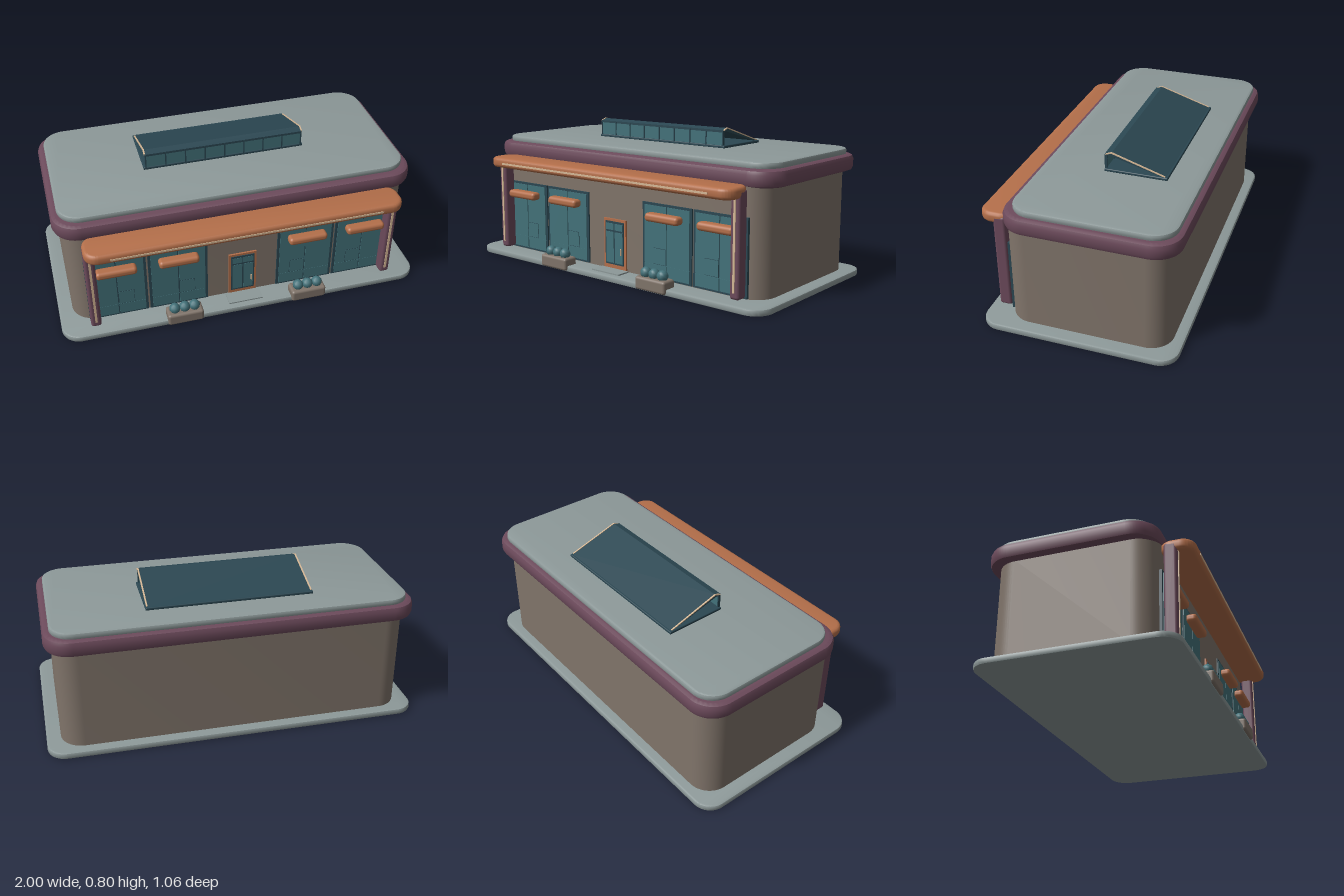
import * as THREE from 'three';
import { toCreasedNormals } from 'three/addons/utils/BufferGeometryUtils.js';
import { RoundedBoxGeometry } from 'three/addons/geometries/RoundedBoxGeometry.js';

const material = (name, color) => {
  const m = new THREE.MeshStandardMaterial({ color });
  m.name = name;
  return m;
};

export function createModel() {
  const stone = material('pale stone', 0x8d9999);
  const wall = material('taupe wall', 0x80746a);
  const plum = material('plum trim', 0x6c4a5b);
  const copper = material('copper', 0xb46f4a);
  const teal = material('teal panel', 0x43727a);
  const dark = material('dark teal frame', 0x2b4752);
  const cream = material('cream trim', 0xd6b896);

  const model = new THREE.Group();
  model.name = 'storefront';

  const add = (parent, name, geometry, mat, x = 0, y = 0, z = 0) => {
    const mesh = new THREE.Mesh(geometry, mat);
    mesh.name = name;
    mesh.position.set(x, y, z);
    parent.add(mesh);
    return mesh;
  };
  const box = (parent, name, mat, w, h, d, x, y, z) =>
    add(parent, name, new THREE.BoxGeometry(w, h, d), mat, x, y, z);
  const softBox = (parent, name, mat, w, h, d, r, x, y, z) =>
    add(parent, name, new RoundedBoxGeometry(w, h, d, 3, r), mat, x, y, z);
  const group = (name, x = 0, y = 0, z = 0) => {
    const g = new THREE.Group();
    g.name = name;
    g.position.set(x, y, z);
    model.add(g);
    return g;
  };

  // Horizontal slab with rounded plan corners and bevelled rims
  const slab = (name, mat, w, d, y0, y1, z, r, bevel, bevelSegments = 2) => {
    const a = w / 2, b = d / 2;
    const s = new THREE.Shape();
    s.moveTo(-a + r, -b);
    s.lineTo(a - r, -b);
    s.absarc(a - r, -b + r, r, -Math.PI / 2, 0);
    s.absarc(a - r, b - r, r, 0, Math.PI / 2);
    s.absarc(-a + r, b - r, r, Math.PI / 2, Math.PI);
    s.absarc(-a + r, -b + r, r, Math.PI, Math.PI * 1.5);
    const g = new THREE.ExtrudeGeometry(s, {
      depth: y1 - y0 - 2 * bevel, curveSegments: 8, bevelEnabled: bevel > 0,
      bevelSize: bevel, bevelOffset: -bevel, bevelThickness: bevel, bevelSegments,
    });
    g.translate(0, 0, bevel).rotateX(-Math.PI / 2);
    return add(model, name, toCreasedNormals(g, 0.6), mat, 0, y0, z);
  };

  // Main volumes
  slab('base', stone, 2, 1.024, 0, 0.033, -0.018, 0.1, 0.008);
  slab('walls', wall, 1.85, 0.845, 0.033, 0.58, -0.0525, 0.12, 0);
  slab('fascia', plum, 1.94, 0.897, 0.573, 0.66, -0.0715, 0.14, 0.024);
  slab('roof', stone, 1.87, 0.823, 0.655, 0.69, -0.0785, 0.12, 0.01);
  slab('canopy', copper, 1.69, 0.18, 0.531, 0.588, 0.441, 0.07, 0.018, 3);
  box(model, 'canopyStripe', cream, 1.44, 0.01, 0.006, 0, 0.557, 0.531);

  // Canopy posts with light strips
  for (const x of [-0.818, 0.818]) {
    softBox(model, 'post', plum, 0.055, 0.528, 0.067, 0.015, x, 0.309, 0.4165);
    box(model, 'postStrip', cream, 0.012, 0.45, 0.006, x, 0.305, 0.451);
  }

  // Large glazed bays, each with a small awning
  for (const x of [-0.685, -0.355, 0.355, 0.685]) {
    const bay = group('bay', x);
    box(bay, 'bayFrame', dark, 0.32, 0.395, 0.018, 0, 0.235, 0.369);
    for (const side of [-1, 1]) {
      box(bay, 'bayPane', teal, 0.143, 0.305, 0.006, side * 0.0745, 0.268, 0.379);
      box(bay, 'lowerPanel', teal, 0.143, 0.064, 0.006, side * 0.0745, 0.08, 0.379);
    }
    box(bay, 'bayRail', teal, 0.29, 0.004, 0.006, 0, 0.1135, 0.378);
    box(bay, 'displayPanel', dark, 0.086, 0.086, 0.002, Math.sign(x) * -0.045, 0.158, 0.3822);
    box(bay, 'displayFace', teal, 0.082, 0.082, 0.002, Math.sign(x) * -0.045, 0.158, 0.383);
    softBox(bay, 'awning', copper, 0.215, 0.044, 0.06, 0.018, 0, 0.366, 0.405);
  }

  // Entrance
  const door = group('entrance');
  box(door, 'doorFrame', copper, 0.155, 0.278, 0.02, 0, 0.172, 0.37);
  box(door, 'doorLeaf', dark, 0.13, 0.236, 0.006, 0, 0.18, 0.381);
  for (const side of [-1, 1]) {
    box(door, 'doorPane', teal, 0.054, 0.17, 0.004, side * 0.031, 0.156, 0.384);
    box(door, 'transomPane', teal, 0.054, 0.036, 0.004, side * 0.031, 0.269, 0.384);
  }
  box(door, 'doorHandle', cream, 0.006, 0.035, 0.008, 0.048, 0.138, 0.388);
  box(door, 'doorstep', stone, 0.19, 0.008, 0.08, 0, 0.036, 0.42);

  // Planters with round shrubs
  const leafBall = new THREE.SphereGeometry(0.03, 10, 7);
  for (const x of [-0.347, 0.347]) {
    const planter = group('planter', x);
    softBox(planter, 'planterBox', wall, 0.195, 0.068, 0.088, 0.014, 0, 0.04, 0.466);
    for (let i = -1; i <= 1; i++) add(planter, 'shrub', leafBall, teal, i * 0.054, 0.091, 0.468);
  }

  // Roof skylight: curb, glazed front, sloping back sheet, open ends
  const skylight = group('skylight');
  softBox(skylight, 'curb', dark, 0.89, 0.016, 0.332, 0.005, 0, 0.696, -0.153);
  box(skylight, 'frontGlass', teal, 0.86, 0.078, 0.006, 0, 0.74, 0.006);
  box(skylight, 'frontHeader', dark, 0.87, 0.012, 0.012, 0, 0.778, 0.006);
  for (let i = 0; i <= 8; i++)
    box(skylight, 'mullion', dark, 0.007, 0.078, 0.014, -0.432 + i * 0.108, 0.74, 0.006);

  const profile = (points, width) => {
    const s = new THREE.Shape(points.map(([z, y]) => new THREE.Vector2(z, y)));
    return new THREE.ExtrudeGeometry(s, { depth: width, bevelEnabled: false })
      .rotateY(-Math.PI / 2).translate(width / 2, 0, 0);
  };
  add(skylight, 'slopingSheet', profile(
    [[0.012, 0.778], [0.012, 0.784], [-0.024, 0.794], [-0.312, 0.703], [-0.285, 0.703], [-0.02, 0.776]],
    0.87), dark);
  for (const x of [-0.436, 0.436])
    add(skylight, 'edgeTrim', profile(
      [[0.008, 0.785], [-0.024, 0.797], [-0.305, 0.708], [-0.305, 0.703], [-0.024, 0.791], [0.008, 0.78]],
      0.008), cream, x);

  return model;
}
